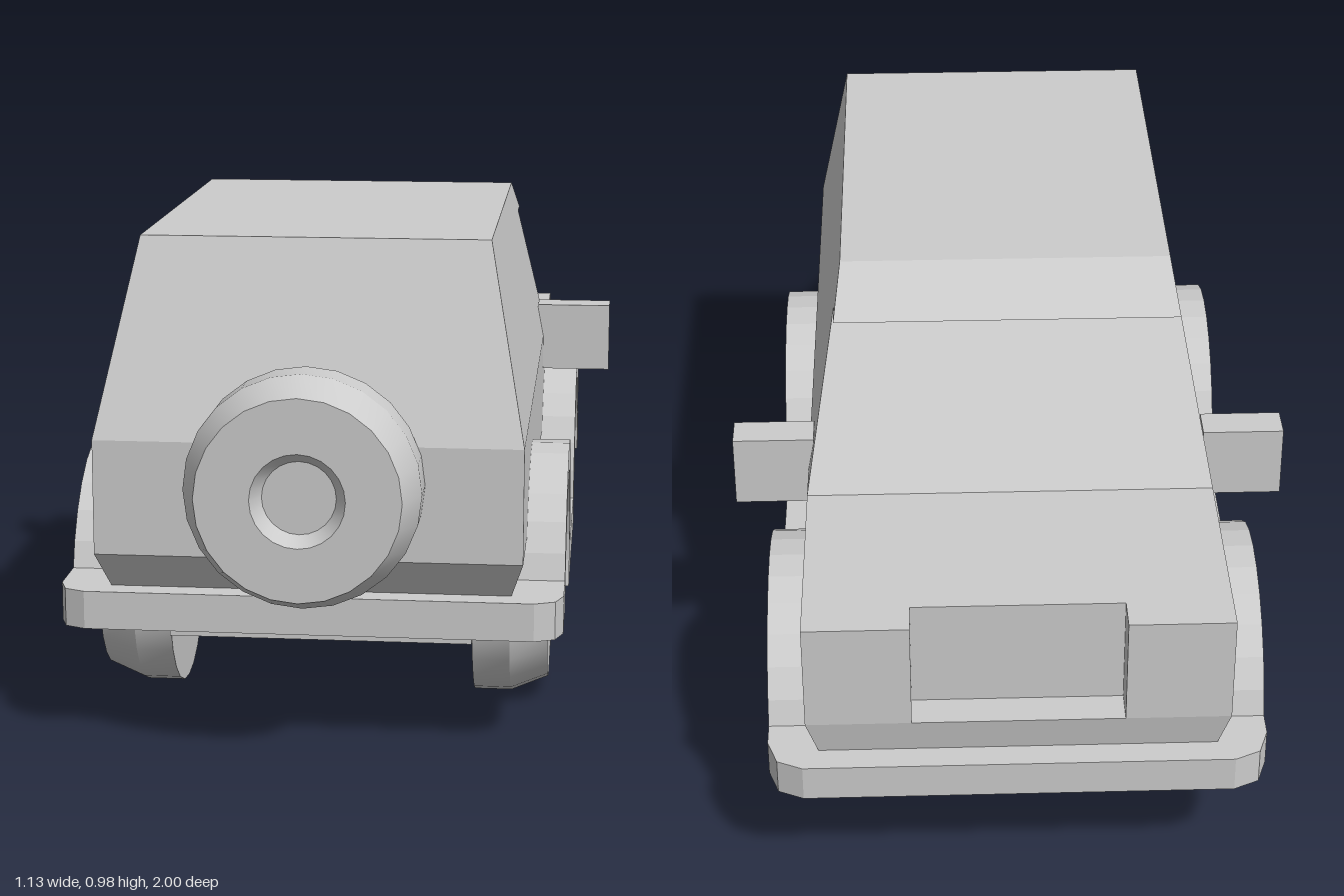
import * as THREE from 'three';
import { toCreasedNormals } from 'three/addons/utils/BufferGeometryUtils.js';

const flat = new THREE.MeshStandardMaterial({ color: 0xcccccc, flatShading: true });
const smooth = new THREE.MeshStandardMaterial({ color: 0xcccccc });

// Side profile of [z, y] points, extruded across x; halfWidth may depend on y
function across(profile, halfWidth) {
  const shape = new THREE.Shape(profile.map(([z, y]) => new THREE.Vector2(-z, y)));
  const geo = new THREE.ExtrudeGeometry(shape, { depth: 2, bevelEnabled: false });
  geo.translate(0, 0, -1).rotateY(Math.PI / 2);
  const p = geo.attributes.position;
  for (let i = 0; i < p.count; i++) p.setX(i, Math.sign(p.getX(i)) * halfWidth(p.getY(i)));
  geo.computeVertexNormals();
  return geo;
}

// Plan outline of [x, z] points, extruded upwards from y0 to y1
function plan(outline, y0, y1) {
  const shape = new THREE.Shape(outline.map(([x, z]) => new THREE.Vector2(x, -z)));
  const geo = new THREE.ExtrudeGeometry(shape, { depth: y1 - y0, bevelEnabled: false });
  return geo.rotateX(-Math.PI / 2).translate(0, y0, 0);
}

// Completes an outline by mirroring it in x
const mirrored = (half) => [...half, ...half.map(([x, z]) => [-x, z]).reverse()];

// Points on an arc in the side plane
function arc(z, y, r, a0, a1, n = 14) {
  return Array.from({ length: n + 1 }, (_, i) => {
    const a = a0 + ((a1 - a0) * i) / n;
    return [z + r * Math.cos(a), y + r * Math.sin(a)];
  });
}

export function createModel() {
  const car = new THREE.Group();
  car.name = 'offRoadCar';
  const add = (name, geo, mat = flat) => {
    const mesh = new THREE.Mesh(geo, mat);
    mesh.name = name;
    car.add(mesh);
    return mesh;
  };

  const rearZ = 0.405, frontZ = -0.59, axleY = 0.226;
  const waistY = 0.605, skirtY = 0.38, baseY = 0.23;

  // Cabin with raked windscreen, roof visor and sloping tail
  const cabin = [[0.85, waistY], [0.7, 0.98], [-0.205, 0.98], [-0.335, 0.91], [-0.26, 0.91], [-0.505, waistY]];
  add('cabin', across(cabin, (y) => 0.413 - ((y - waistY) / (0.98 - waistY)) * 0.073));

  // Main body with the grille recess between the headlight blocks
  add('body', plan(mirrored([[0.413, 0.85], [0.413, -0.96], [0.207, -0.96], [0.207, -0.89]]), skirtY, waistY));

  // Lower body, tapering inwards to the sills
  const skirt = [[0.85, skirtY], [-0.96, skirtY], [-0.932, baseY], [0.75, baseY]];
  add('lowerBody', across(skirt, (y) => 0.413 - (skirtY - y) * 0.307));

  // Wheel arches joined by the sill
  const dip = Math.asin(0.075 / 0.23);
  add('archesAndSill', across([
    ...arc(rearZ, baseY, 0.29, 0, Math.PI),
    ...arc(frontZ, baseY, 0.29, 0, Math.PI),
    ...arc(frontZ, baseY, 0.23, Math.PI, -dip),
    ...arc(rearZ, baseY, 0.23, Math.PI + dip, 0),
  ], () => 0.49));

  // Bumpers with cut corners
  add('rearBumper', plan(mirrored([[0.49, 0.635], [0.49, 0.79], [0.475, 0.832], [0.435, 0.85]]), baseY, 0.305));
  add('frontBumper', plan(mirrored([[0.49, -0.82], [0.49, -0.92], [0.47, -0.977], [0.42, -1]]), baseY, 0.305));

  // Floor between the wheels
  add('floorPan', new THREE.BoxGeometry(0.61, 0.085, 1.455).translate(0, 0.1975, -0.0925));

  // Wheels: bevelled tyre with a recessed hub, facing +z
  const section = [[0, 0], [0.226, 0], [0.226, 0.075], [0.195, 0.15], [0.09, 0.15], [0.07, 0.12], [0, 0.12]];
  const lathe = new THREE.LatheGeometry(section.map(([r, h]) => new THREE.Vector2(r, h)), 24);
  const wheelGeo = toCreasedNormals(lathe.rotateX(Math.PI / 2), 0.35);

  add('spareWheel', wheelGeo, smooth).position.set(0, 0.531, 0.85);

  for (const side of [1, -1]) {
    const label = side > 0 ? 'left' : 'right';
    for (const [name, z] of [['RearWheel', rearZ], ['FrontWheel', frontZ]]) {
      const wheel = add(label + name, wheelGeo, smooth);
      wheel.position.set(side * 0.305, axleY, z);
      wheel.rotation.y = (side * Math.PI) / 2;
    }
    // Door mirrors
    add(label + 'Mirror', new THREE.BoxGeometry(0.165, 0.15, 0.072)).position.set(side * 0.4825, 0.605, -0.377);
  }
  return car;
}
